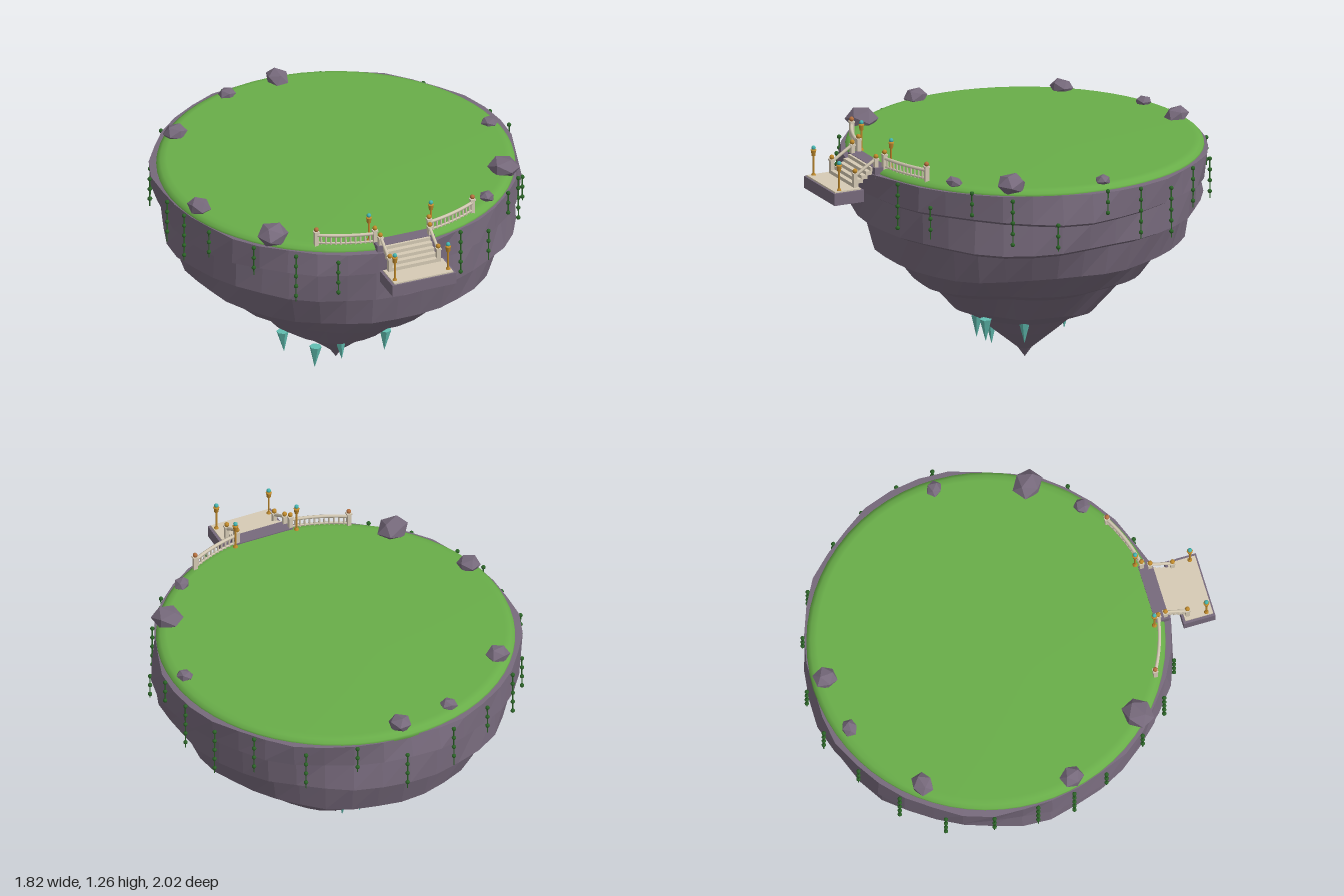
import * as THREE from 'three';

const CZ = -0.11; // island centre in z
const mat = (name, color) => {
  const m = new THREE.MeshStandardMaterial({ color });
  m.name = name;
  return m;
};

// Rock profile from rim to tip: [radius, height]
const PROFILE = [
  [0, 1.085], [0.86, 1.092], [0.89, 1.09], [0.893, 0.965], [0.856, 0.945], [0.858, 0.8],
  [0.8, 0.772], [0.757, 0.62], [0.67, 0.598], [0.56, 0.468], [0.465, 0.425],
  [0.35, 0.295], [0.25, 0.245], [0.17, 0.172], [0.035, 0.06], [0, 0.01],
];
const wobble = (a, band) =>
  1 + 0.013 * Math.sin(3 * a + band * 1.3 + 0.6) + 0.009 * Math.sin(7 * a + band * 2.1) + 0.006 * Math.sin(13 * a + band);

function rockGeometry() {
  const N = 38, pos = [], idx = [];
  PROFILE.forEach(([r, y], i) => {
    const band = Math.floor((i + 1) / 2);
    for (let j = 0; j < N; j++) {
      const a = (j / N) * Math.PI * 2, k = r * wobble(a, band);
      const dy = i > 2 && i < 12 ? 0.012 * Math.sin(2 * a + band) + 0.006 * Math.sin(5 * a + band * 2) : 0;
      pos.push(Math.sin(a) * k, y + dy, Math.cos(a) * k);
    }
  });
  for (let i = 0; i < PROFILE.length - 1; i++) {
    for (let j = 0; j < N; j++) {
      const A = i * N + j, B = i * N + ((j + 1) % N), C = A + N, D = B + N;
      if (i > 0) idx.push(A, C, B);
      else idx.push(A, C, D);
      if (i > 0 && i < PROFILE.length - 2) idx.push(B, C, D);
    }
  }
  const indexed = new THREE.BufferGeometry();
  indexed.setAttribute('position', new THREE.Float32BufferAttribute(pos, 3));
  indexed.setIndex(idx);
  const g = indexed.toNonIndexed(); // faceted normals
  g.computeVertexNormals();
  return g;
}

export function createModel() {
  const model = new THREE.Group();
  model.name = 'floatingIsland';
  const rock = mat('rock', 0x776a7c), grass = mat('grass', 0x69ae49), stone = mat('pale stone', 0xd6cbb5);
  const gold = mat('gold', 0xc08a2c), copper = mat('copper', 0xb5703f), teal = mat('teal glass', 0x45b5b0);
  const vine = mat('vine', 0x2c6428), crystal = mat('crystal', 0x62bfb2);

  const add = (name, geo, material, x = 0, y = 0, z = 0, parent = model) => {
    const m = new THREE.Mesh(geo, material);
    m.name = name;
    m.position.set(x, y, z);
    parent.add(m);
    return m;
  };
  const box = (name, material, w, h, d, x, y, z, parent) =>
    add(name, new THREE.BoxGeometry(w, h, d), material, x, y, z, parent);
  // Upright cylinder standing on y
  const rod = (name, material, rTop, rBottom, h, x, y, z, sides = 8, parent = model) =>
    add(name, new THREE.CylinderGeometry(rTop, rBottom, h, sides), material, x, y + h / 2, z, parent);

  // Island body and grass cap
  add('islandRock', rockGeometry(), rock, 0, 0, CZ);
  const cap = [[0.86, 1.06], [0.872, 1.085], [0.868, 1.1], [0.85, 1.113], [0.82, 1.12], [0, 1.122]];
  add('grassCap', new THREE.LatheGeometry(cap.map(p => new THREE.Vector2(...p)), 64), grass, 0, 0, CZ);

  // Boulders on the rim: x, z, radius
  [[-0.25, -0.875, 0.046], [0.03, -0.915, 0.065], [-0.63, -0.62, 0.063], [-0.8, 0.085, 0.063],
    [-0.58, 0.485, 0.085], [0.705, 0.31, 0.082], [0.525, 0.53, 0.044], [0.815, -0.13, 0.044],
  ].forEach(([x, z, r], i) => {
    const b = add('boulder', new THREE.IcosahedronGeometry(1, 0), rock, x, 1.115 + r * 0.25, z);
    b.scale.set(r, r * 0.68, r * 0.9);
    b.rotation.set(0.15 * Math.sin(i * 2), i * 1.7, 0.15 * Math.cos(i));
  });

  // Hanging vines with leaf clumps: angle in degrees, top, length
  [[20, 1.08, 0.23], [33, 1.0, 0.16], [47, 1.1, 0.12], [60, 1.07, 0.23], [74, 0.95, 0.13], [90, 1.1, 0.12],
    [102, 1.08, 0.25], [115, 1.04, 0.25], [129, 1.08, 0.2], [146, 1.05, 0.2], [162, 1.08, 0.14], [178, 1.0, 0.2],
    [194, 1.07, 0.22], [210, 1.05, 0.15], [226, 1.08, 0.23], [241, 1.0, 0.18], [256, 1.08, 0.15],
    [270, 1.07, 0.22], [282, 1.09, 0.25], [294, 1.08, 0.14], [311, 1.08, 0.15], [325, 1.08, 0.25], [338, 1.06, 0.18],
  ].forEach(([deg, top, len]) => {
    const a = deg * Math.PI / 180;
    const r = 0.893 * Math.max(wobble(a, 1), wobble(a, 2)) + 0.004;
    const g = new THREE.Group();
    g.name = 'vine';
    g.position.set(Math.sin(a) * r, top, CZ + Math.cos(a) * r);
    rod('vineStem', vine, 0.004, 0.003, len, 0, -len, 0, 5, g);
    for (let y = 0; y < len; y += 0.055)
      add('vineLeaves', new THREE.IcosahedronGeometry(0.011, 1), vine, 0, -y, 0, g);
    model.add(g);
  });

  // Crystals below the island: x, z, tip height
  [[-0.28, -0.1, 0.107], [-0.18, 0.06, 0.083], [-0.11, -0.19, 0.085], [-0.04, 0.05, 0.09],
    [0.14, 0.17, 0.165], [0.22, 0, 0.155], [0.05, -0.3, 0.145], [-0.03, -0.315, 0.155],
  ].forEach(([x, z, tip], i) => {
    const geo = new THREE.CylinderGeometry(0.03, 0.001, 0.112, 6).toNonIndexed();
    geo.computeVertexNormals();
    add('crystal', geo, crystal, x, tip + 0.056, z).rotation.set(0.07 * Math.sin(i * 2), i, 0.07 * Math.cos(i * 3));
  });

  // Landing slab, stairs and threshold
  box('landingRock', rock, 0.335, 0.06, 0.16, 0, 1.0, 0.92);
  box('landingPaving', stone, 0.31, 0.008, 0.14, 0, 1.033, 0.922);
  box('threshold', rock, 0.3, 0.05, 0.07, 0, 1.1, 0.737);
  for (let i = 0; i < 5; i++)
    box('step', stone, 0.245, 0.02, 0.032, 0, 1.113 - i * 0.017, 0.768 + i * 0.024);

  const post = (x, y, z, h, finial) => {
    const g = new THREE.Group();
    g.name = 'railPost';
    g.position.set(x, y, z);
    box('postShaft', stone, 0.02, h, 0.02, 0, h / 2, 0, g);
    box('postCap', stone, 0.026, 0.008, 0.026, 0, h, 0, g);
    add('finial', new THREE.SphereGeometry(0.012, 10, 8), finial, 0, h + 0.014, 0, g);
    model.add(g);
  };
  const lantern = (x, y, z) => {
    const g = new THREE.Group();
    g.name = 'lantern';
    g.position.set(x, y, z);
    rod('lanternFoot', gold, 0.007, 0.013, 0.012, 0, 0, 0, 8, g);
    rod('lanternPole', gold, 0.005, 0.005, 0.105, 0, 0, 0, 8, g);
    rod('lanternBody', gold, 0.014, 0.01, 0.028, 0, 0.1, 0, 6, g);
    rod('lanternRoof', gold, 0.004, 0.016, 0.01, 0, 0.128, 0, 6, g);
    add('lanternGlass', new THREE.SphereGeometry(0.011, 10, 8), teal, 0, 0.14, 0, g);
    model.add(g);
  };

  // Railings, posts and lanterns on both sides
  const R = 0.84, A0 = 0.17, A1 = 0.51;
  for (const s of [-1, 1]) {
    const at = (t, y) => {
      const a = A0 + (A1 - A0) * t;
      return new THREE.Vector3(s * Math.sin(a) * R, y, CZ + Math.cos(a) * R);
    };
    for (const [y, r] of [[1.168, 0.009], [1.127, 0.006]]) {
      const pts = Array.from({ length: 9 }, (_, i) => at(i / 8, y));
      add('curvedRail', new THREE.TubeGeometry(new THREE.CatmullRomCurve3(pts), 24, r, 6), stone);
    }
    for (let i = 1; i < 12; i++) {
      const p = at(i / 12, 1.12);
      rod('baluster', stone, 0.004, 0.006, 0.048, p.x, p.y, p.z, 6);
    }
    const end = at(1, 1.11), start = at(0, 1.11);
    post(end.x, end.y, end.z, 0.075, copper);
    post(start.x, start.y, start.z, 0.075, gold);
    post(s * 0.13, 1.05, 0.758, 0.115, gold);
    post(s * 0.127, 1.035, 0.87, 0.07, gold);
    const slope = new THREE.LineCurve3(new THREE.Vector3(s * 0.128, 1.165, 0.76), new THREE.Vector3(s * 0.128, 1.095, 0.87));
    add('stairRail', new THREE.TubeGeometry(slope, 1, 0.008, 6), stone);
    lantern(s * 0.163, 1.12, 0.692);
    lantern(s * 0.14, 1.035, 0.962);
  }
  return model;
}
